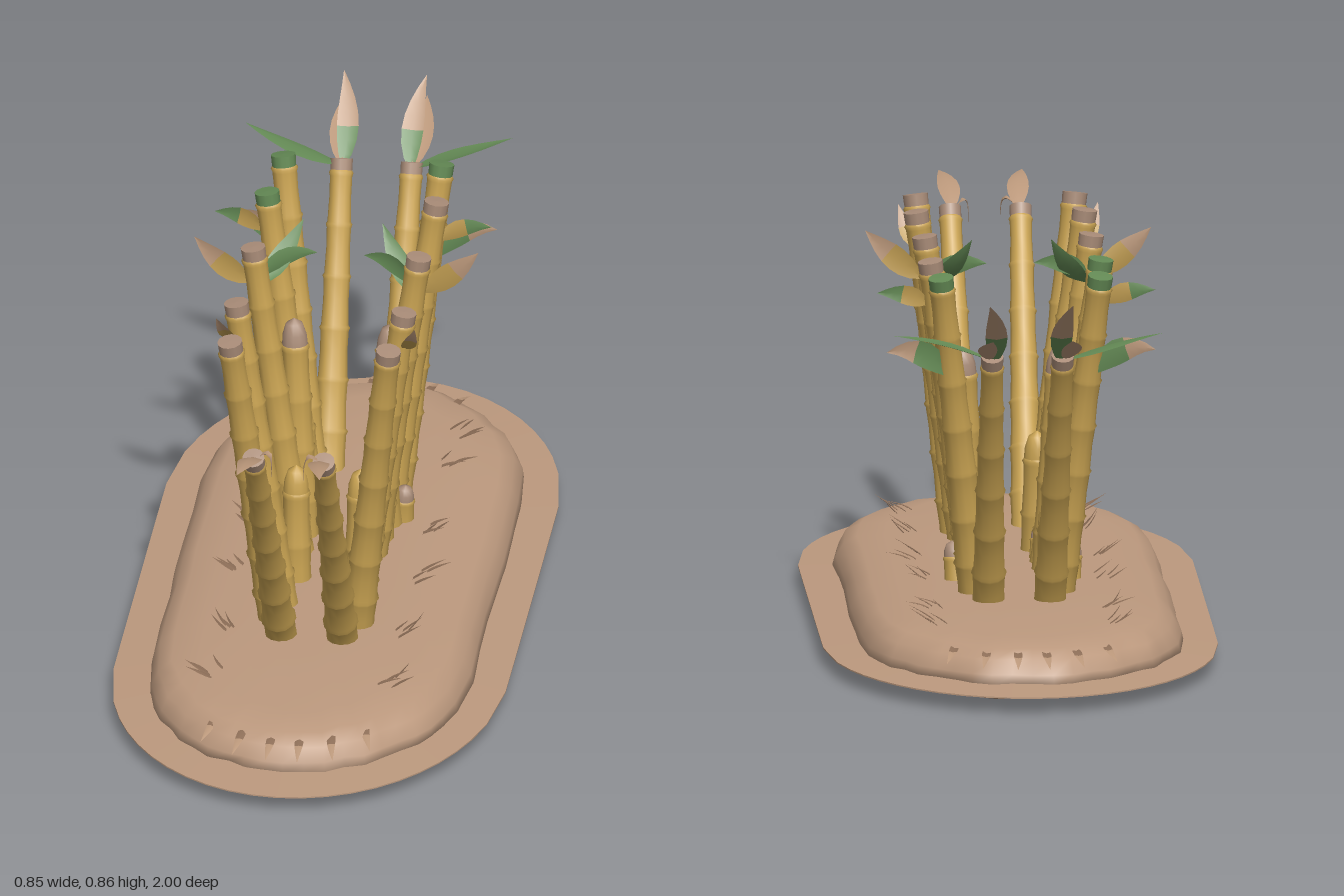
import * as THREE from 'three';

const mat = (name, color, side = THREE.FrontSide) => {
  const m = new THREE.MeshStandardMaterial({ color, side });
  m.name = name;
  return m;
};
const V = (x, y, z) => new THREE.Vector3(x, y, z);

export function createModel() {
  const model = new THREE.Group();
  model.name = 'caneClump';
  const D = THREE.DoubleSide;
  const soil = mat('soil', 0xbc997e);
  const cane = mat('goldenCane', 0xc9a352);
  const cut = mat('greyTanCut', 0xa98c78);
  const green = mat('leafGreen', 0x648a55, D);
  const dry = mat('dryLeaf', 0xba977a, D);
  const gold = mat('goldLeaf', 0xbd9a50, D);
  const twig = mat('litter', 0x8f7059, D);

  let seed = 7;
  const rand = () => (seed = (seed * 16807) % 2147483647) / 2147483647;

  const add = (name, geo, material, parent = model) => {
    const m = new THREE.Mesh(geo, material);
    m.name = name;
    parent.add(m);
    return m;
  };

  // Stack of rounded outlines [y, half width, half length], closed at both ends
  function loft(rings, n, wobble) {
    const pos = [], idx = [];
    const bumps = Array.from({ length: n }, () => rand() - 0.5);
    rings.forEach(([y, hx, hz], k) => {
      const straight = Math.min(0.42, hz * 0.48);
      for (let i = 0; i < n; i++) {
        // quarter of the points per straight side, the rest on the ends
        const a = (i / n) * Math.PI * 2, c = Math.cos(a), s = Math.sin(a);
        const f = 1 + wobble * (bumps[i] + (rand() - 0.5) * 0.7);
        const z = Math.sign(s) * straight * Math.min(1, Math.abs(s) * 2.2) + (hz - straight) * Math.sign(s) * Math.abs(s) ** 1.3;
        const zi = Math.max(0, Math.abs(z) - straight) / (hz - straight);
        const x = Math.sign(c) * hx * Math.sqrt(Math.max(0, 1 - zi * zi));
        pos.push(Math.abs(c) < 1e-6 ? 0 : x * f, y, z * f);
        if (k < rings.length - 1) {
          const p = k * n + i, q = k * n + (i + 1) % n;
          idx.push(p, p + n, q, q, p + n, q + n);
        }
      }
    });
    const last = (rings.length - 1) * n, b = pos.length / 3;
    pos.push(0, rings[0][0], 0, 0, rings.at(-1)[0], 0);
    for (let i = 0; i < n; i++) {
      const j = (i + 1) % n;
      idx.push(b, i, j, b + 1, last + j, last + i);
    }
    const g = new THREE.BufferGeometry();
    g.setAttribute('position', new THREE.Float32BufferAttribute(pos, 3));
    g.setIndex(idx);
    g.computeVertexNormals();
    return g;
  }

  // Ground: wide thin skirt and rounded mound
  add('groundSkirt', loft([[0.028, 0.34, 0.88], [0.033, 0.425, 1], [0.036, 0.425, 1], [0.042, 0.34, 0.88]], 56, 0).toNonIndexed(), soil)
    .geometry.computeVertexNormals();
  add('mound', loft([[0, 0.295, 0.84], [0.012, 0.315, 0.86], [0.036, 0.35, 0.89], [0.06, 0.345, 0.885],
    [0.09, 0.328, 0.865], [0.108, 0.30, 0.83], [0.119, 0.24, 0.75], [0.127, 0.14, 0.5]], 56, 0.018), soil);

  // Cane with swollen joints, cut flat or domed at the top
  function makeCane(name, from, to, r0, r1, topMat, domed) {
    const g = new THREE.Group();
    g.name = name;
    const axis = to.clone().sub(from), L = axis.length();
    const cap = domed ? Math.min(0.06, L * 0.3) : 0.025;
    const rad = y => r0 + (r1 - r0) * (y / L);
    const pts = [], body = L - cap, joints = Math.max(1, Math.round(body / 0.105));
    for (let j = 0; j < joints; j++) {
      [[0, 1.0], [0.5, 0.96], [0.88, 1.02], [0.95, 1.13]].forEach(([t, k]) => {
        const y = ((j + t) / joints) * body;
        pts.push(new THREE.Vector2(rad(y) * k, y));
      });
    }
    pts.push(new THREE.Vector2(rad(body), body));
    add('shaft', new THREE.LatheGeometry(pts, 12), cane, g);
    const e = rad(body);
    const top = domed
      ? [[e, body], [e * 0.93, body + cap * 0.4], [e * 0.65, body + cap * 0.8], [0, L]]
      : [[e, body], [e * 1.03, L], [e * 1.03, L], [0, L + 0.001]];
    add('tip', new THREE.LatheGeometry(top.map(p => new THREE.Vector2(...p)), 12), topMat, g);
    g.position.copy(from);
    g.quaternion.setFromUnitVectors(V(0, 1, 0), axis.normalize());
    model.add(g);
  }

  // Pointed folded blade along a bent path, coloured root and tip
  function makeLeaf(name, a, b, c, width, across, rootMat, tipMat, split = 4) {
    const path = new THREE.QuadraticBezierCurve3(a, b, c), n = 7, pos = [], idx = [];
    for (let i = 0; i <= n; i++) {
      const t = i / n, p = path.getPoint(t), d = path.getTangent(t);
      const fold = across.clone().cross(d).normalize();
      const side = d.clone().cross(fold).normalize();
      const w = width * (0.1 * (1 - t) + Math.sin(Math.PI * t ** 0.85)) * 0.5;
      for (const k of [-1, 0, 1]) {
        const q = p.clone().addScaledVector(side, k * w).addScaledVector(fold, k ? 0.2 * w : 0);
        pos.push(q.x, q.y, q.z);
      }
      if (i < n) for (const k of [0, 1]) {
        const o = i * 3 + k;
        idx.push(o, o + 1, o + 3, o + 1, o + 4, o + 3);
      }
    }
    const g = new THREE.BufferGeometry();
    g.setAttribute('position', new THREE.Float32BufferAttribute(pos, 3));
    g.setIndex(idx);
    g.addGroup(0, split * 12, 0);
    g.addGroup(split * 12, (n - split) * 12, 1);
    g.computeVertexNormals();
    add(name, g, [rootMat, tipMat]);
  }

  const up = V(0, 1, 0), sideways = V(1, 0, 0), along = V(0, 0, 1);
  for (const s of [-1, 1]) {
    const P = (x, y, z) => V(s * x, y, z);
    // Tall canes: base x, z; top x, y, z; radii; tip colour
    [
      [0.066, 0.39, 0.076, 0.745, 0.795, 0.036, 0.023, cut],
      [0.088, 0.33, 0.172, 0.845, 0.45, 0.036, 0.026, cut],
      [0.078, 0.26, 0.182, 0.845, 0.265, 0.034, 0.026, cut],
      [0.076, 0.005, 0.18, 0.845, 0, 0.034, 0.026, cut],
      [0.08, -0.21, 0.184, 0.845, -0.265, 0.035, 0.026, s < 0 ? green : cut],
      [0.088, -0.3, 0.172, 0.845, -0.445, 0.036, 0.026, green],
      [0.066, -0.38, 0.076, 0.72, -0.685, 0.036, 0.023, cut],
    ].forEach(([x, z, tx, ty, tz, r0, r1, m]) =>
      makeCane('tallCane', P(x, 0.1, z), P(tx, ty, tz), r0, r1, m, false));

    // Short shoots with rounded tips
    makeCane('shortCane', P(0.068, 0.1, 0.138), P(0.07, 0.39, 0.125), 0.034, 0.026, cane, true);
    makeCane('middleCane', P(0.08, 0.1, -0.07), P(0.105, 0.625, -0.108), 0.036, 0.027, cut, true);
    makeCane('stump', P(0.09, 0.1, -0.145), P(0.085, 0.295, -0.13), 0.038, 0.027, cane, true);
    makeCane('sprout', P(0.12, 0.1, -0.17), P(0.13, 0.21, -0.16), 0.028, 0.018, cut, true);
    makeCane('sprout', P(0.07, 0.1, 0.045), P(0.07, 0.2, 0.055), 0.026, 0.014, cut, true);
    makeCane('sprout', P(0.1, 0.1, -0.265), P(0.1, 0.225, -0.268), 0.02, 0.014, cut, true);

    // Leaves on the outer canes
    makeLeaf('outerLeaf', P(0.185, 0.755, -0.01), P(0.25, 0.80, 0), P(0.308, 0.86, -0.005), 0.05, up, gold, dry);
    makeLeaf('outerLeaf', P(0.19, 0.75, -0.265), P(0.23, 0.785, -0.285), P(0.3, 0.78, -0.285), 0.04, up, gold, green);
    makeLeaf('outerLeaf', P(0.155, 0.625, -0.42), P(0.21, 0.705, -0.44), P(0.29, 0.685, -0.46), 0.052, up, green, dry);
    makeLeaf('innerLeaf', P(0.165, 0.745, -0.025), P(0.13, 0.77, -0.08), P(0.085, 0.86, -0.12), 0.045, sideways, green, green);
    makeLeaf('innerLeaf', P(0.17, 0.76, -0.02), P(0.12, 0.81, -0.07), P(0.05, 0.80, -0.08), 0.04, up, green, green);
    makeLeaf('frontLeaf', P(0.185, 0.765, 0.28), P(0.2, 0.79, 0.31), P(0.215, 0.845, 0.345), 0.03, sideways, gold, dry);

    // Leaves at the ends of the leaning canes
    makeLeaf('frontTipLeaf', P(0.072, 0.74, 0.79), P(0.07, 0.80, 0.87), P(0.09, 0.79, 0.97), 0.045, sideways, dry, dry);
    makeLeaf('frontCurl', P(0.065, 0.745, 0.79), P(0.03, 0.79, 0.81), P(0.035, 0.705, 0.82), 0.02, along, dry, dry);
    makeLeaf('backTipLeaf', P(0.074, 0.70, -0.68), P(0.06, 0.78, -0.75), P(0.09, 0.86, -0.83), 0.045, sideways, green, dry, 3);
    makeLeaf('backTipLeaf', P(0.08, 0.71, -0.68), P(0.10, 0.75, -0.77), P(0.085, 0.79, -0.87), 0.04, sideways, dry, dry);
    makeLeaf('backSideLeaf', P(0.08, 0.71, -0.68), P(0.17, 0.745, -0.67), P(0.29, 0.775, -0.72), 0.052, along, green, green);

    // Litter: small tufts leaning outwards and loose flakes
    [-0.6, -0.44, -0.13, 0.1, 0.38, 0.6].forEach((z, k) => {
      for (let i = 0; i < 4; i++) {
        const x = 0.16 + rand() * 0.04, dz = (rand() - 0.5) * 0.06;
        const h = k === 4 ? 0.05 : 0.025;
        makeLeaf('litterTuft', P(x, 0.115, z + dz), P(x + 0.02, 0.13, z + dz * 1.2),
          P(x + 0.03 + rand() * 0.035, 0.13 + h * (0.3 + rand() * 0.7), z + dz * 1.6), 0.014, along, twig, twig);
      }
    });
    for (const e of [-1, 1]) for (let i = 0; i < 3; i++) {
      const x = 0.03 + i * 0.065, z = e * (0.86 - i * i * 0.018);
      makeLeaf('rimFlake', P(x, 0.1, z - e * 0.05), P(x, 0.105, z), P(x * 1.15, 0.08, z + e * 0.06), 0.018, sideways, twig, dry);
    }
  }
  return model;
}
